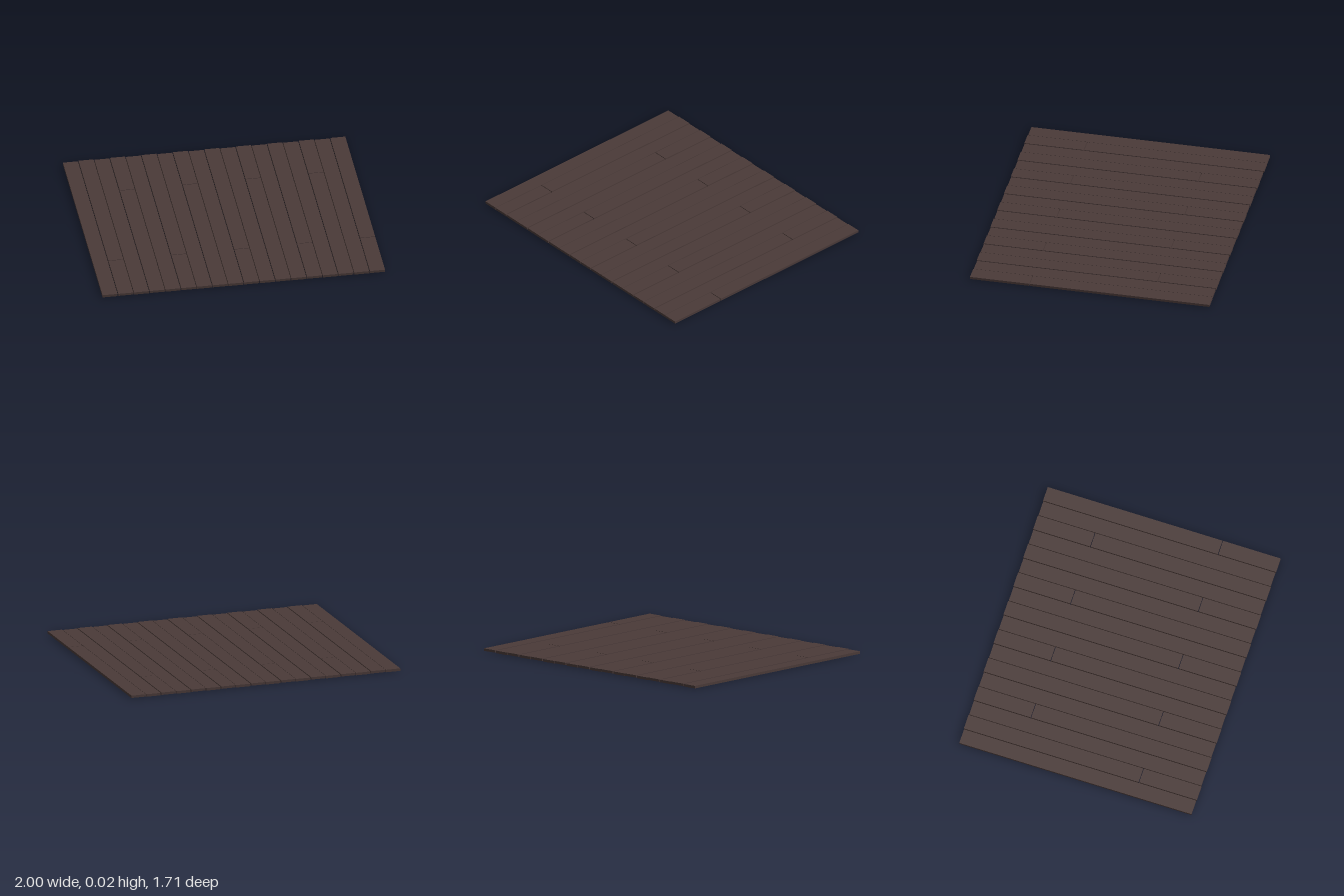
import * as THREE from 'three';

export function createModel() {
  const floor = new THREE.Group();
  floor.name = 'plankFloor';
  const wood = new THREE.MeshStandardMaterial({ color: 0x4a3a38 });
  wood.name = 'darkWood';

  const columns = 18;
  const pitch = 2.005 / columns;
  const gap = 0.005;
  const width = pitch - gap;

  // One board between two z positions and two heights
  function addPlank(name, x, z0, z1, y0, y1) {
    const plank = new THREE.Mesh(new THREE.BoxGeometry(width, y1 - y0, z1 - z0), wood);
    plank.position.set(x, (y0 + y1) / 2, (z0 + z1) / 2);
    plank.name = name;
    floor.add(plank);
  }

  for (let i = 0; i < columns; i++) {
    const x = -1 + width / 2 + i * pitch;
    if (i % 2 === 0) {
      // Full-length boards
      addPlank('fullPlank', x, -0.853, 0.853, 0, 0.018);
    } else {
      // Boards cut in two, the joint alternating between front and back
      const joint = i % 4 === 1 ? 0.43 : -0.436;
      addPlank('backPlank', x, -0.856, joint - gap / 2, 0.003, 0.02);
      addPlank('frontPlank', x, joint + gap / 2, 0.856, 0.003, 0.02);
    }
  }
  return floor;
}
